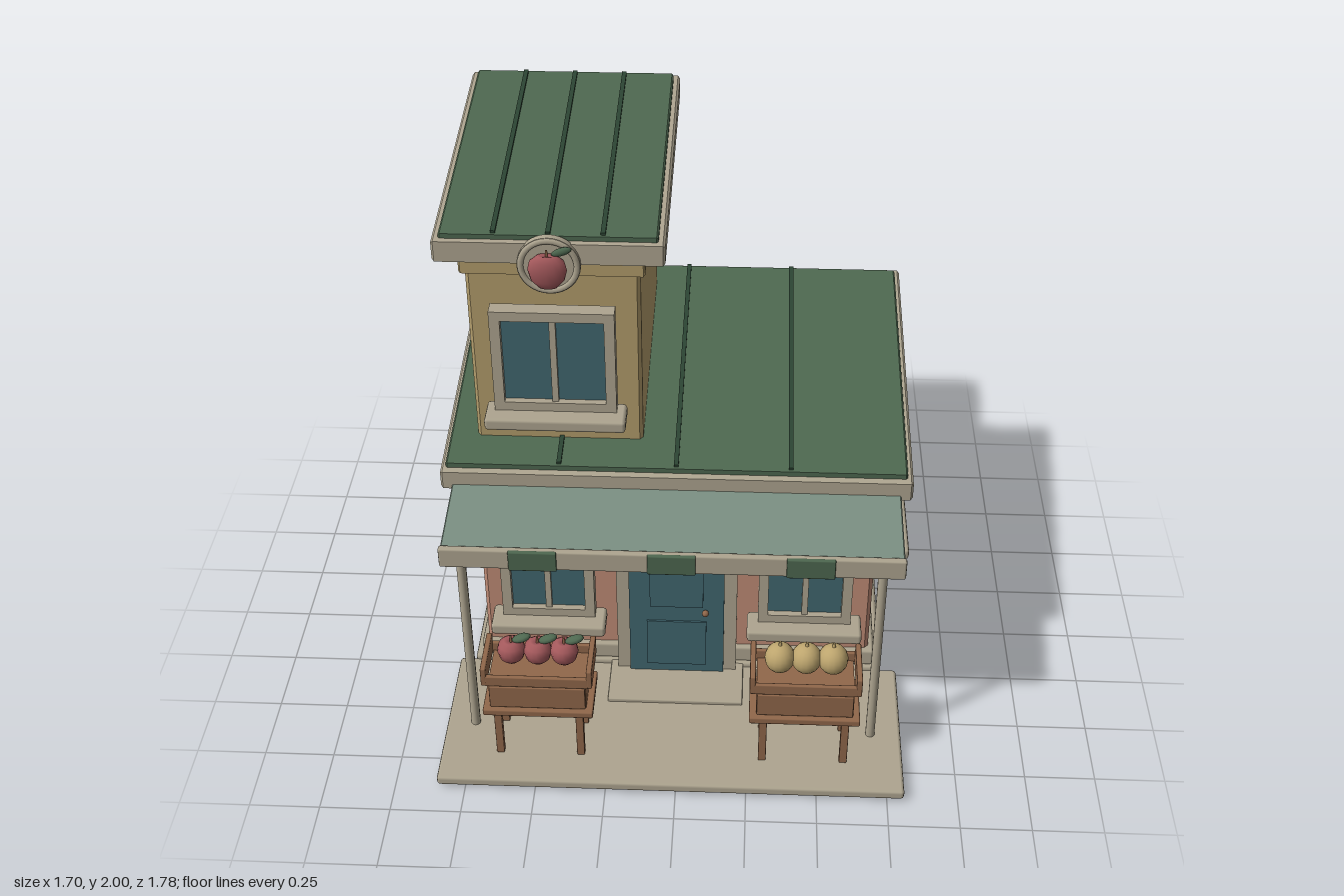
import * as THREE from 'three';
import { RoundedBoxGeometry } from 'three/addons/geometries/RoundedBoxGeometry.js';

const paint = (name, color) => {
  const m = new THREE.MeshStandardMaterial({ color });
  m.name = name;
  return m;
};
const M = {
  pink: paint('pink plaster', 0xc08c77),
  tan: paint('tan plaster', 0xb39d6c),
  cream: paint('cream trim', 0xaea590),
  green: paint('roof green', 0x4e6850),
  dark: paint('dark green', 0x2c4433),
  teal: paint('teal', 0x416770),
  awning: paint('awning sage', 0x7b8f82),
  wood: paint('wood', 0x91684b),
  red: paint('apple red', 0xa4595c),
  melon: paint('melon yellow', 0xbda56e),
};

function add(parent, name, geo, mat, x = 0, y = 0, z = 0) {
  const mesh = new THREE.Mesh(geo, mat);
  mesh.name = name;
  mesh.position.set(x, y, z);
  parent.add(mesh);
  return mesh;
}

// Box given by its limits on each axis, with softened edges
function block(parent, name, mat, [x0, x1], [y0, y1], [z0, z1], r = 0.008) {
  const w = x1 - x0, h = y1 - y0, d = z1 - z0;
  const rad = Math.min(r, Math.min(w, h, d) * 0.4);
  const geo = rad > 0.003 ? new RoundedBoxGeometry(w, h, d, 1, rad) : new THREE.BoxGeometry(w, h, d);
  return add(parent, name, geo, mat, (x0 + x1) / 2, (y0 + y1) / 2, (z0 + z1) / 2);
}

// Side profile of [z, y] points, extruded from x0 to x1
function profile(parent, name, mat, pts, x0, x1, b = 0.006) {
  const shape = new THREE.Shape(pts.map(([z, y]) => new THREE.Vector2(-z, y)));
  const geo = new THREE.ExtrudeGeometry(shape, {
    depth: x1 - x0 - 2 * b, bevelEnabled: b > 0, bevelThickness: b, bevelSize: b, bevelOffset: -b, bevelSegments: 1,
  });
  geo.translate(0, 0, b).rotateY(Math.PI / 2);
  return add(parent, name, geo, mat, x0, 0, 0);
}

// Sloping slab whose top runs from (z0, y0) to (z1, y1)
const slope = (parent, name, mat, [z0, y0], [z1, y1], t, x0, x1, b) =>
  profile(parent, name, mat, [[z0, y0 - t], [z0, y0], [z1, y1], [z1, y1 - t]], x0, x1, b);

const extrude = (shape, depth) => new THREE.ExtrudeGeometry(shape, { depth, bevelEnabled: false, curveSegments: 16 });

const rect = (C, w, h) => {
  const s = new C();
  s.moveTo(-w / 2, 0); s.lineTo(w / 2, 0); s.lineTo(w / 2, h); s.lineTo(-w / 2, h); s.closePath();
  return s;
};

// Window facing +z, origin on the wall at the bottom middle of the frame
function windowUnit(parent, name, w, h, rows, sillW, x, y, z, turn = 0) {
  const g = new THREE.Group();
  g.name = name;
  g.position.set(x, y, z);
  g.rotation.y = turn;
  const t = 0.036, gw = w - 2 * t, gh = h - 2 * t;
  const frame = rect(THREE.Shape, w, h);
  const hole = new THREE.Path([[-gw / 2, t], [-gw / 2, h - t], [gw / 2, h - t], [gw / 2, t]].map(p => new THREE.Vector2(...p)));
  frame.holes.push(hole);
  add(g, 'windowFrame', extrude(frame, 0.055), M.cream, 0, 0, 0.04);
  block(g, 'glass', M.teal, [-gw / 2 - 0.005, gw / 2 + 0.005], [t - 0.005, h - t + 0.005], [-0.01, 0.07], 0);
  block(g, 'mullion', M.cream, [-0.011, 0.011], [t, h - t], [0.06, 0.085], 0);
  for (let i = 1; i < rows; i++) {
    const my = t + gh * i / rows;
    block(g, 'crossbar', M.cream, [-gw / 2, gw / 2], [my - 0.01, my + 0.01], [0.06, 0.083], 0);
  }
  block(g, 'sill', M.cream, [-sillW / 2, sillW / 2], [-0.045, 0.002], [0.035, 0.155], 0.012);
  parent.add(g);
}

function leaf(parent, x, y, z, s = 1) {
  const l = add(parent, 'leaf', new THREE.SphereGeometry(0.036 * s, 10, 6), M.green, x, y, z);
  l.scale.set(1, 0.4, 0.55);
  l.rotation.z = 0.35;
}

function apple(parent, x, y, z, r) {
  const pts = [[0, -0.85], [0.45, -0.93], [0.85, -0.5], [1, 0.1], [0.88, 0.6], [0.5, 0.92], [0.2, 0.88], [0, 0.7]];
  add(parent, 'apple', new THREE.LatheGeometry(pts.map(([a, b]) => new THREE.Vector2(a * r, b * r)), 16), M.red, x, y, z);
  add(parent, 'stem', new THREE.CylinderGeometry(0.004, 0.005, 0.03, 6), M.wood, x, y + r, z);
  leaf(parent, x + r * 0.75, y + r * 1.15, z);
}

function melon(parent, x, y, z) {
  const fruit = add(parent, 'melon', new THREE.SphereGeometry(0.053, 16, 12), M.melon, x, y, z);
  fruit.scale.y = 1.1;
  add(parent, 'stem', new THREE.CylinderGeometry(0.004, 0.008, 0.02, 6), M.melon, x, y + 0.062, z);
}

// Open crate of boards with taller end boards, centred on x and z
function crate(parent, w, d, h, lift) {
  const g = new THREE.Group();
  g.name = 'crate';
  const a = w / 2, c = d / 2;
  block(g, 'crateBottom', M.wood, [-a + 0.01, a - 0.01], [0, h * 0.62], [-c + 0.012, c - 0.012], 0);
  for (const s of [-1, 1]) {
    const zs = [s * c, s * (c - 0.016)].sort((p, q) => p - q);
    block(g, 'lowerBoard', M.wood, [-a + 0.012, a - 0.012], [0, h * 0.55], zs, 0.004);
    block(g, 'upperBoard', M.wood, [-a, a], [h * 0.57, h * 0.82], zs, 0.004);
    const xs = [s * (a + 0.014), s * (a - 0.006)].sort((p, q) => p - q);
    block(g, 'endBoard', M.wood, xs, [h * 0.57, h * 0.57 + lift], [-c, c], 0.005);
  }
  parent.add(g);
  return g;
}

function fruitStand(parent, name, x, fruit) {
  const g = new THREE.Group();
  g.name = name;
  g.position.set(x, 0, 0.667);
  for (const sx of [-1, 1]) for (const sz of [-1, 1])
    block(g, 'standLeg', M.wood, [sx * 0.145 - 0.014, sx * 0.145 + 0.014], [0.05, 0.255], [sz * 0.078 - 0.014, sz * 0.078 + 0.014], 0.004);
  block(g, 'standTop', M.wood, [-0.195, 0.195], [0.25, 0.278], [-0.108, 0.108], 0.006);
  crate(g, 0.362, 0.19, 0.175, 0.08).position.y = 0.282;
  for (const i of [-1, 0, 1]) fruit(g, i * 0.093);
  parent.add(g);
}

function arch(C, half, bottom, spring) {
  const s = new C();
  s.moveTo(-half, bottom);
  s.lineTo(half, bottom);
  s.lineTo(half, spring);
  s.absarc(0, spring, half, 0, Math.PI, false);
  s.lineTo(-half, bottom);
  return s;
}

export function createModel() {
  const root = new THREE.Group();
  root.name = 'fruitShop';

  // Ground slabs and base trim
  block(root, 'porchSlab', M.cream, [-0.85, 0.81], [0.012, 0.05], [0.27, 0.89], 0.012);
  block(root, 'foundation', M.cream, [-0.79, 0.75], [0, 0.07], [-0.78, 0.28], 0.015);
  block(root, 'baseTrim', M.cream, [-0.762, 0.722], [0.068, 0.14], [-0.755, 0.27], 0.012);
  block(root, 'doorStep', M.cream, [-0.27, 0.23], [0.045, 0.064], [0.26, 0.485], 0.005);

  // House walls, top band and shed roof
  profile(root, 'houseWalls', M.pink, [[0.25, 0.07], [0.25, 0.96], [-0.74, 1.08], [-0.74, 0.07]], -0.74, 0.70, 0.014);
  slope(root, 'houseBand', M.pink, [0.27, 0.95], [-0.77, 1.08], 0.105, -0.765, 0.725);
  slope(root, 'roofFascia', M.cream, [0.345, 1.0], [-0.84, 1.145], 0.07, -0.845, 0.805, 0.008);
  slope(root, 'roofPanel', M.green, [0.32, 1.022], [-0.81, 1.163], 0.035, -0.827, 0.785);
  for (const x of [-0.43, -0.02, 0.38])
    slope(root, 'roofSeam', M.dark, [0.31, 1.032], [-0.81, 1.171], 0.025, x - 0.008, x + 0.008, 0);

  // Tower walls, top band and roof
  profile(root, 'towerWalls', M.tan, [[0.175, 0.98], [0.175, 1.82], [-0.72, 1.91], [-0.72, 0.98]], -0.73, -0.143, 0.012);
  slope(root, 'towerBand', M.tan, [0.19, 1.81], [-0.742, 1.905], 0.092, -0.748, -0.126);
  slope(root, 'towerFascia', M.cream, [0.255, 1.875], [-0.81, 1.975], 0.075, -0.82, -0.055, 0.008);
  slope(root, 'towerRoofPanel', M.green, [0.235, 1.894], [-0.79, 1.992], 0.035, -0.797, -0.078);
  for (const x of [-0.618, -0.438, -0.258])
    slope(root, 'towerSeam', M.dark, [0.225, 1.903], [-0.785, 2.0], 0.025, x - 0.008, x + 0.008, 0);

  // Windows
  windowUnit(root, 'rightFrontWindow', 0.34, 0.39, 1, 0.42, -0.49, 0.34, 0.25);
  windowUnit(root, 'leftFrontWindow', 0.34, 0.39, 1, 0.42, 0.45, 0.34, 0.25);
  windowUnit(root, 'sideWindow', 0.415, 0.385, 2, 0.47, 0.70, 0.387, -0.263, Math.PI / 2);
  windowUnit(root, 'backWindow', 0.53, 0.40, 2, 0.59, -0.02, 0.392, -0.74, Math.PI);
  windowUnit(root, 'towerFrontWindow', 0.42, 0.40, 1, 0.485, -0.435, 1.222, 0.18);
  windowUnit(root, 'towerBackWindow', 0.39, 0.40, 2, 0.455, -0.435, 1.277, -0.72, Math.PI);

  // Arched door
  const surround = arch(THREE.Shape, 0.222, 0.05, 0.615);
  surround.holes.push(arch(THREE.Path, 0.172, 0.06, 0.603));
  add(root, 'doorSurround', extrude(surround, 0.07), M.cream, -0.02, 0, 0.24);
  add(root, 'door', extrude(arch(THREE.Shape, 0.175, 0.066, 0.603), 0.085), M.teal, -0.02, 0, 0.24);
  block(root, 'upperDoorPanel', M.teal, [-0.118, 0.078], [0.39, 0.60], [0.323, 0.332], 0);
  block(root, 'lowerDoorPanel', M.teal, [-0.13, 0.09], [0.105, 0.318], [0.323, 0.332], 0);
  add(root, 'doorKnob', new THREE.SphereGeometry(0.013, 10, 8), M.wood, 0.087, 0.375, 0.345);

  // Awning, valance and posts
  slope(root, 'awning', M.awning, [0.26, 0.958], [0.655, 0.912], 0.028, -0.805, 0.765, 0.004);
  block(root, 'valance', M.cream, [-0.81, 0.77], [0.842, 0.922], [0.642, 0.668], 0.008);
  for (const x of [-0.49, -0.02, 0.45])
    block(root, 'valanceTab', M.green, [x - 0.082, x + 0.082], [0.843, 0.922], [0.66, 0.676], 0.004);
  for (const x of [-0.745, 0.698])
    add(root, 'porchPost', new THREE.CylinderGeometry(0.017, 0.017, 0.85, 10), M.cream, x, 0.47, 0.61);

  // Round apple sign on the tower
  const sign = add(root, 'signDisc', new THREE.CylinderGeometry(0.105, 0.105, 0.024, 32), M.cream, -0.435, 1.8, 0.256);
  sign.rotation.x = Math.PI / 2;
  add(root, 'signRim', new THREE.TorusGeometry(0.093, 0.012, 8, 32), M.cream, -0.435, 1.8, 0.264);
  const emblem = new THREE.Group();
  emblem.name = 'signApple';
  emblem.position.set(-0.438, 1.79, 0.285);
  emblem.scale.z = 0.45;
  apple(emblem, 0, 0, 0, 0.065);
  root.add(emblem);

  // Fruit stands and the crate beside the house
  fruitStand(root, 'appleStand', -0.49, (g, x) => apple(g, x, 0.475, 0.005, 0.05));
  fruitStand(root, 'melonStand', 0.45, (g, x) => melon(g, x, 0.478, 0.005));
  const side = crate(root, 0.17, 0.09, 0.175, 0.075);
  side.name = 'sideCrate';
  side.rotation.y = Math.PI / 2;
  side.position.set(0.772, 0.012, -0.545);
  melon(root, 0.76, 0.2, -0.545);
  return root;
}
